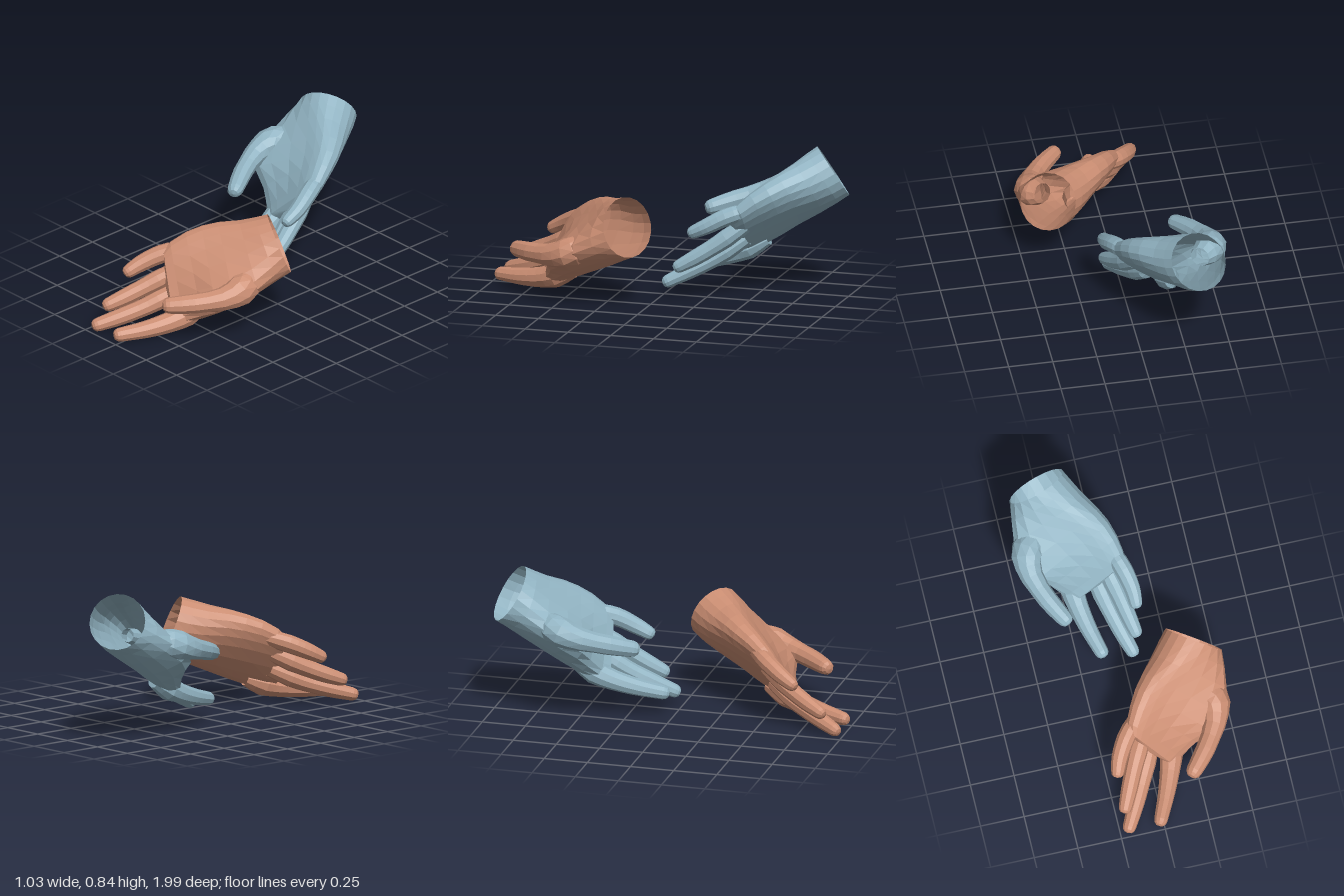
import * as THREE from 'three';

const V = (x, y, z) => new THREE.Vector3(x, y, z);

// Hand axes: toward the fingers, across the palm to the index side, out of the palm
const AXIS = V(-0.54, -0.36, 0.76).normalize();
const KNUCKLES = V(0.49, -0.81, 0.33).normalize();
const PALM = AXIS.clone().cross(KNUCKLES).normalize();

// Skin a list of rings of points; the far end closes on a point
function loft(rings, tip) {
  const sides = rings[0].length, index = [];
  for (let i = 0; i < rings.length; i++) {
    for (let j = 0; j < sides; j++) {
      const a = i * sides + j, b = i * sides + (j + 1) % sides;
      if (i === rings.length - 1) index.push(a, b, rings.length * sides);
      else index.push(a, b, b + sides, a, b + sides, a + sides);
    }
  }
  const geo = new THREE.BufferGeometry().setFromPoints([...rings.flat(), tip]);
  geo.setIndex(index);
  return geo;
}

// Ring of points from a rule giving the offset at each angle
const ring = (sides, rule) => Array.from({ length: sides }, (_, j) => rule((j / sides) * Math.PI * 2));

// Sideways and palmward directions square to a given direction
function sideAxes(dir) {
  const u = PALM.clone().cross(dir).normalize();
  return [u, dir.clone().cross(u).normalize()];
}

const power = (x, e) => Math.sign(x) * Math.abs(x) ** e;

// Open cuff, palm, ball of the thumb and knuckles in one skin
function palmGeometry() {
  const rows = [
    // centre, half width, half thickness, slant to the knuckle line, thumb ball sideways and outward
    [V(0.37, 0.47, 0.1), 0.176, 0.16, 0, 0, 0],
    [V(0.325, 0.445, 0.155), 0.183, 0.155, 0.1, 0.035, 0.035],
    [V(0.27, 0.41, 0.23), 0.2, 0.138, 0.3, 0.065, 0.08],
    [V(0.195, 0.37, 0.328), 0.229, 0.112, 0.5, 0.08, 0.125],
    [V(0.138, 0.335, 0.405), 0.244, 0.096, 0.6, 0.055, 0.115],
    [V(0.09, 0.3, 0.48), 0.248, 0.082, 0.6, 0.012, 0.05],
    [V(0.035, 0.26, 0.56), 0.234, 0.064, 0.7, 0, 0],
    [V(0.009, 0.241, 0.603), 0.2, 0.044, 0.8, 0, 0],
  ];
  const [across] = sideAxes(AXIS);
  const rings = rows.map(([c, width, thick, slant, ballU, ballV]) => {
    const u = across.clone().lerp(KNUCKLES, slant).normalize();
    const e = 1 - 0.35 * slant;
    return ring(20, a => {
      const s = Math.sin(a);
      const hollow = s > 0 ? 1 - 0.25 * slant * s ** 4 : 1;
      const ball = Math.max(0, Math.cos(a - 0.75)) ** 3;
      return c.clone()
        .addScaledVector(u, power(Math.cos(a), e) * width + ball * ballU)
        .addScaledVector(PALM, power(s, e) * thick * hollow + ball * ballV);
    });
  });
  return loft(rings, V(0, 0.233, 0.618));
}

// A digit along a smooth path, its radii spread evenly from root to tip,
// raised from the palm by lift at the tip
function digitGeometry(path, radii, lift = 0) {
  const curve = new THREE.CatmullRomCurve3(
    path.map((p, i) => V(...p).addScaledVector(PALM, lift * Math.sqrt(i / (path.length - 1)))));
  const steps = 9, rings = [];
  const addRing = (c, dir, r) => {
    const [u, v] = sideAxes(dir);
    rings.push(ring(10, a => c.clone().addScaledVector(u, Math.cos(a) * r).addScaledVector(v, Math.sin(a) * r * 0.94)));
  };
  for (let i = 0; i <= steps; i++) {
    const t = i / steps;
    const k = t * (radii.length - 1);
    const n = Math.min(Math.floor(k), radii.length - 2);
    addRing(curve.getPoint(t), curve.getTangent(t), THREE.MathUtils.lerp(radii[n], radii[n + 1], k - n));
  }
  // rounded fingertip
  const end = curve.getPoint(1), dir = curve.getTangent(1), r = radii[radii.length - 1];
  const ahead = d => end.clone().addScaledVector(dir, r * d);
  addRing(ahead(0.45), dir, r * 0.88);
  addRing(ahead(0.78), dir, r * 0.58);
  return loft(rings, ahead(0.92));
}

const FINGER = [0.046, 0.056, 0.05, 0.049, 0.045, 0.039];
const DIGITS = {
  indexFinger: [[[0.16, 0.145, 0.47], [0.115, 0.087, 0.64], [0.055, 0.06, 0.8], [-0.015, 0.05, 0.955]],
    [0.04, 0.072, 0.06, 0.053, 0.046, 0.04]],
  middleFinger: [[[0.03, 0.21, 0.54], [-0.055, 0.13, 0.7], [-0.13, 0.08, 0.84], [-0.195, 0.045, 0.955]], FINGER],
  ringFinger: [[[-0.01, 0.31, 0.51], [-0.095, 0.23, 0.66], [-0.155, 0.175, 0.78], [-0.198, 0.14, 0.87]], FINGER],
  littleFinger: [[[-0.02, 0.415, 0.44], [-0.12, 0.372, 0.55], [-0.177, 0.327, 0.64], [-0.204, 0.292, 0.708]],
    [0.04, 0.054, 0.051, 0.046, 0.039]],
  thumb: [[[0.365, 0.36, 0.32], [0.413, 0.318, 0.41], [0.398, 0.288, 0.52], [0.315, 0.272, 0.665], [0.215, 0.262, 0.787]],
    [0.06, 0.088, 0.088, 0.07, 0.058, 0.056, 0.047]],
};

// Frame of a hand from its wrist and fingertips; side is -1 for the opposite hand
function handFrame(wrist, middle, index, little, thumb, side) {
  const x = middle.clone().sub(wrist).normalize();
  const y = little.clone().sub(index.clone().add(thumb).multiplyScalar(0.5));
  y.addScaledVector(x, -y.dot(x)).normalize();
  const z = x.clone().cross(y).multiplyScalar(side);
  return new THREE.Matrix4().makeBasis(x, y, z).setPosition(wrist);
}

// Move a geometry, turning its faces round when the move is a reflection
function place(geo, matrix) {
  geo.applyMatrix4(matrix);
  if (matrix.determinant() < 0) {
    const a = geo.index.array;
    for (let i = 0; i < a.length; i += 3) [a[i + 1], a[i + 2]] = [a[i + 2], a[i + 1]];
  }
  geo.computeVertexNormals();
  return geo;
}

function buildHand(name, color, matrix, lifts) {
  const hand = new THREE.Group();
  hand.name = name;
  const material = new THREE.MeshStandardMaterial({ color, flatShading: true, side: THREE.DoubleSide });
  const add = (part, geo) => {
    const mesh = new THREE.Mesh(place(geo, matrix), material);
    mesh.name = part;
    hand.add(mesh);
  };
  add('palm', palmGeometry());
  for (const [part, [path, radii]] of Object.entries(DIGITS)) add(part, digitGeometry(path, radii, lifts[part]));
  return hand;
}

export function createModel() {
  const model = new THREE.Group();
  model.name = 'pairOfHands';
  const front = handFrame(V(0.365, 0.47, 0.1), V(-0.21, 0.05, 0.96), V(-0.02, 0.05, 0.98),
    V(-0.22, 0.29, 0.73), V(0.2, 0.26, 0.82), 1);
  const back = handFrame(V(-0.295, 0.71, -0.895), V(0.055, 0.12, -0.065), V(-0.12, 0.11, -0.06),
    V(0.18, 0.38, -0.22), V(-0.23, 0.53, -0.17), -1);
  model.add(buildHand('frontHand', 0xcb8e73, new THREE.Matrix4(), {}));
  // the other hand is the mirror image, set behind and a little more cupped
  model.add(buildHand('backHand', 0x92b4c3, back.multiply(front.invert()), { thumb: 0.055, littleFinger: 0.08 }));
  return model;
}
